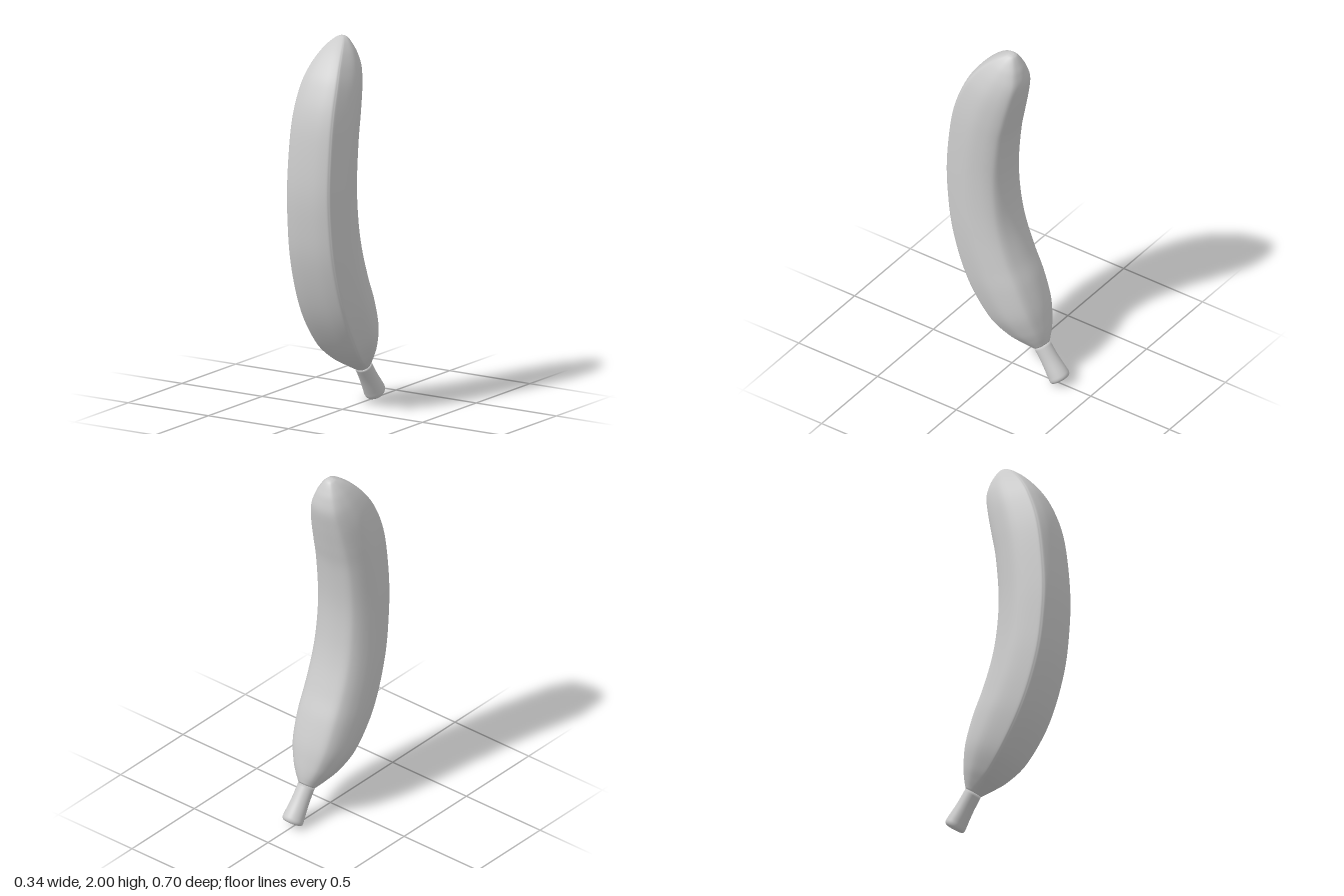
import * as THREE from 'three';

const AROUND = 80;

// Half of the ridged cross-section: [width fraction, front-to-back fraction]
const HALF = [
  [0, 0], [0.4, 0.012], [0.71, 0.052], [0.8, 0.085], [0.86, 0.15], [1, 0.48],
  [0.93, 0.72], [0.78, 0.88], [0.6, 0.95], [0.3, 0.987], [0, 1],
];
const mirrored = HALF.slice(1, -1).reverse().map(([u, t]) => [-u, t]);
const section = new THREE.CatmullRomCurve3(
  [...HALF, ...mirrored].map(([u, t]) => new THREE.Vector3(u, t, 0)), true, 'catmullrom', 0.5);
const ridged = Array.from({ length: AROUND }, (_, j) => section.getPoint(j / AROUND));

// Stations, top to bottom: front z, front y, back z, back y, half width, roundness
const BODY = [
  [0.012, 2.0, -0.012, 1.998, 0.012, 0.5],
  [0.032, 1.993, -0.028, 1.986, 0.03, 0.4],
  [0.074, 1.97, -0.048, 1.95, 0.057, 0.2],
  [0.13, 1.926, -0.067, 1.903, 0.086, 0.1],
  [0.19, 1.86, -0.079, 1.83, 0.115, 0],
  [0.243, 1.777, -0.063, 1.725, 0.138, 0],
  [0.296, 1.645, -0.035, 1.59, 0.152, 0],
  [0.328, 1.486, -0.008, 1.45, 0.158, 0],
  [0.349, 1.237, 0.01, 1.23, 0.161, 0],
  [0.339, 1.025, 0, 1.04, 0.164, 0],
  [0.312, 0.84, -0.03, 0.88, 0.168, 0],
  [0.254, 0.644, -0.085, 0.72, 0.171, 0],
  [0.18, 0.485, -0.143, 0.59, 0.169, 0],
  [0.074, 0.336, -0.192, 0.45, 0.152, 0],
  [-0.02, 0.252, -0.216, 0.345, 0.115, 0.1],
  [-0.09, 0.21, -0.226, 0.28, 0.08, 0.4],
  [-0.153, 0.177, -0.228, 0.23, 0.046, 1],
];
const STEM = [
  [-0.153, 0.177, -0.228, 0.23, 0.046, 1],
  [-0.2, 0.105, -0.281, 0.157, 0.048, 1],
  [-0.238, 0.038, -0.333, 0.095, 0.055, 1],
  [-0.252, 0.013, -0.348, 0.072, 0.057, 1],
  [-0.262, 0.002, -0.347, 0.056, 0.051, 1],
  [-0.272, 0.003, -0.339, 0.046, 0.041, 1],
];

// Skins smooth rings between the stations and closes both ends
function loft(name, stations, stepsPerStation, material) {
  const curve = (pick) => new THREE.CatmullRomCurve3(
    stations.map(pick), false, 'catmullrom', 0.5);
  const front = curve(([fz, fy, , , w]) => new THREE.Vector3(w, fy, fz));
  const back = curve(([, , bz, by, , round]) => new THREE.Vector3(round, by, bz));
  const rings = (stations.length - 1) * stepsPerStation;
  const pos = [], index = [];
  const ends = [];

  for (let i = 0; i <= rings; i++) {
    const f = front.getPoint(i / rings), b = back.getPoint(i / rings);
    const round = THREE.MathUtils.clamp(b.x, 0, 1);
    for (let j = 0; j < AROUND; j++) {
      const a = (j / AROUND) * Math.PI * 2;
      const u = THREE.MathUtils.lerp(ridged[j].x, Math.sin(a), round);
      const t = THREE.MathUtils.lerp(ridged[j].y, (1 - Math.cos(a)) / 2, round);
      pos.push(u * f.x, f.y + (b.y - f.y) * t, f.z + (b.z - f.z) * t);
      if (i < rings) {
        const k = (j + 1) % AROUND, r = i * AROUND, s = r + AROUND;
        index.push(r + j, s + j, r + k, r + k, s + j, s + k);
      }
    }
    if (i === 0 || i === rings) ends.push([0, (f.y + b.y) / 2, (f.z + b.z) / 2]);
  }

  // End caps
  const top = pos.length / 3, bottom = top + 1, last = rings * AROUND;
  pos.push(...ends[0], ...ends[1]);
  for (let j = 0; j < AROUND; j++) {
    const k = (j + 1) % AROUND;
    index.push(top, j, k, bottom, last + k, last + j);
  }

  const geometry = new THREE.BufferGeometry();
  geometry.setAttribute('position', new THREE.Float32BufferAttribute(pos, 3));
  geometry.setIndex(index);
  geometry.computeVertexNormals();
  const mesh = new THREE.Mesh(geometry, material);
  mesh.name = name;
  return mesh;
}

export function createModel() {
  const group = new THREE.Group();
  group.name = 'banana';
  const material = new THREE.MeshStandardMaterial({ color: 0xcccccc });
  group.add(loft('fruitBody', BODY, 6, material));
  group.add(loft('stem', STEM, 6, material));
  return group;
}
